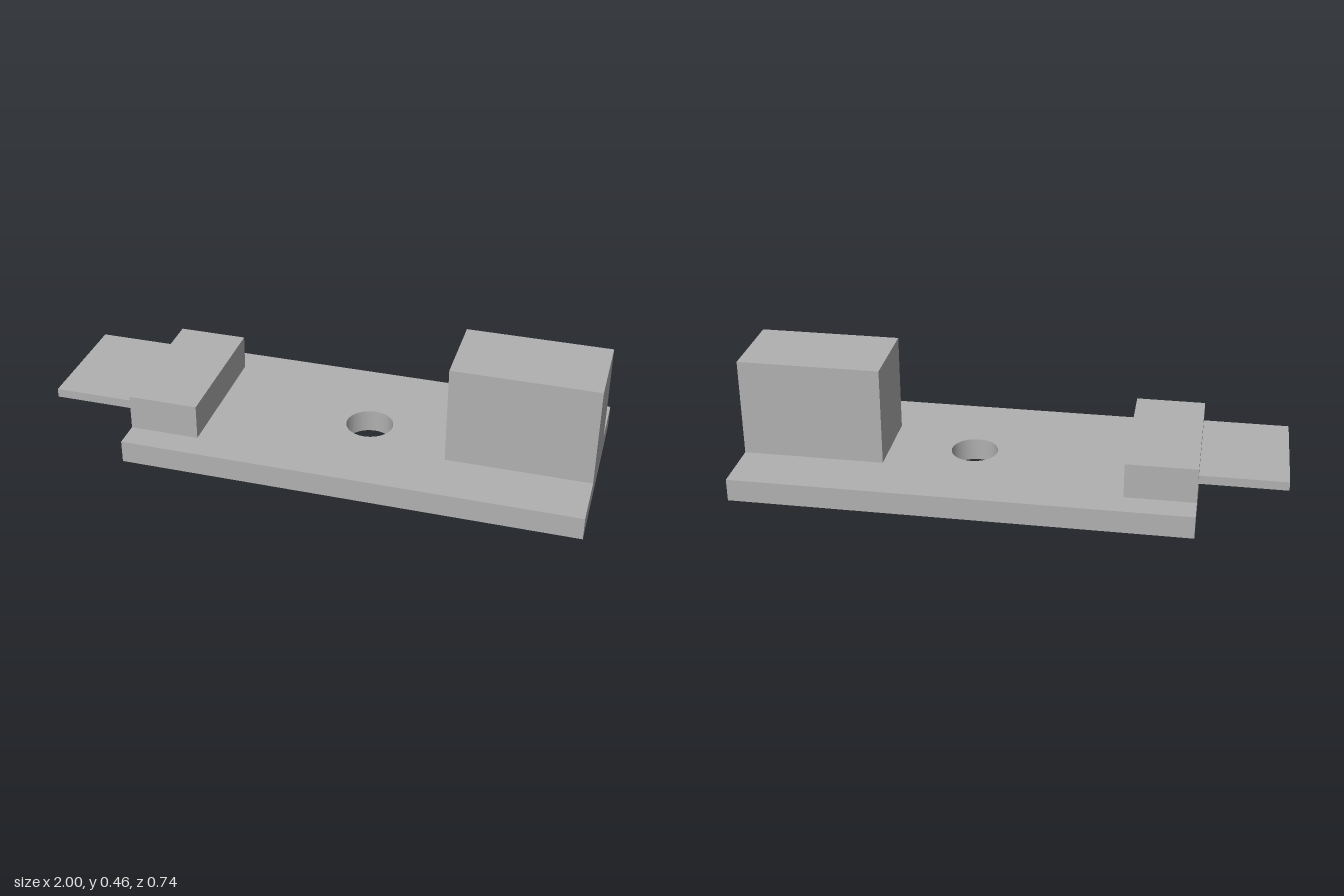
import * as THREE from 'three';
import { toCreasedNormals } from 'three/addons/utils/BufferGeometryUtils.js';

export function createModel() {
  const model = new THREE.Group();
  const grey = new THREE.MeshStandardMaterial({ color: 0xb0b0b0 });
  grey.name = 'plain grey';

  const add = (name, geometry) => {
    const mesh = new THREE.Mesh(geometry, grey);
    mesh.name = name;
    model.add(mesh);
  };

  // Box given by its x and y ranges and half its depth, centred on z = 0
  const addBlock = (name, x0, x1, y0, y1, halfDepth) =>
    add(name, new THREE.BoxGeometry(x1 - x0, y1 - y0, halfDepth * 2)
      .translate((x0 + x1) / 2, (y0 + y1) / 2, 0));

  const baseTop = 0.085, baseLeft = -0.685, baseHalf = 0.368;

  // Base plate with a round through-hole
  const plate = new THREE.Shape([
    new THREE.Vector2(baseLeft, -baseHalf),
    new THREE.Vector2(1, -baseHalf),
    new THREE.Vector2(1, baseHalf),
    new THREE.Vector2(baseLeft, baseHalf),
  ]);
  plate.holes.push(new THREE.Path().absarc(0.155, 0, 0.087, 0, Math.PI * 2, true));
  const plateGeometry = new THREE.ExtrudeGeometry(plate, {
    depth: baseTop, bevelEnabled: false, curveSegments: 48,
  }).rotateX(-Math.PI / 2);
  add('basePlate', toCreasedNormals(plateGeometry, 0.6));

  // Tall block at one end, low step with a thin projecting tab at the other
  addBlock('tallBlock', 0.472, 1, baseTop, 0.455, 0.153);
  addBlock('lowStep', baseLeft, -0.427, baseTop, 0.217, 0.267);
  addBlock('endTab', -1, baseLeft, 0.135, 0.168, 0.218);

  return model;
}
